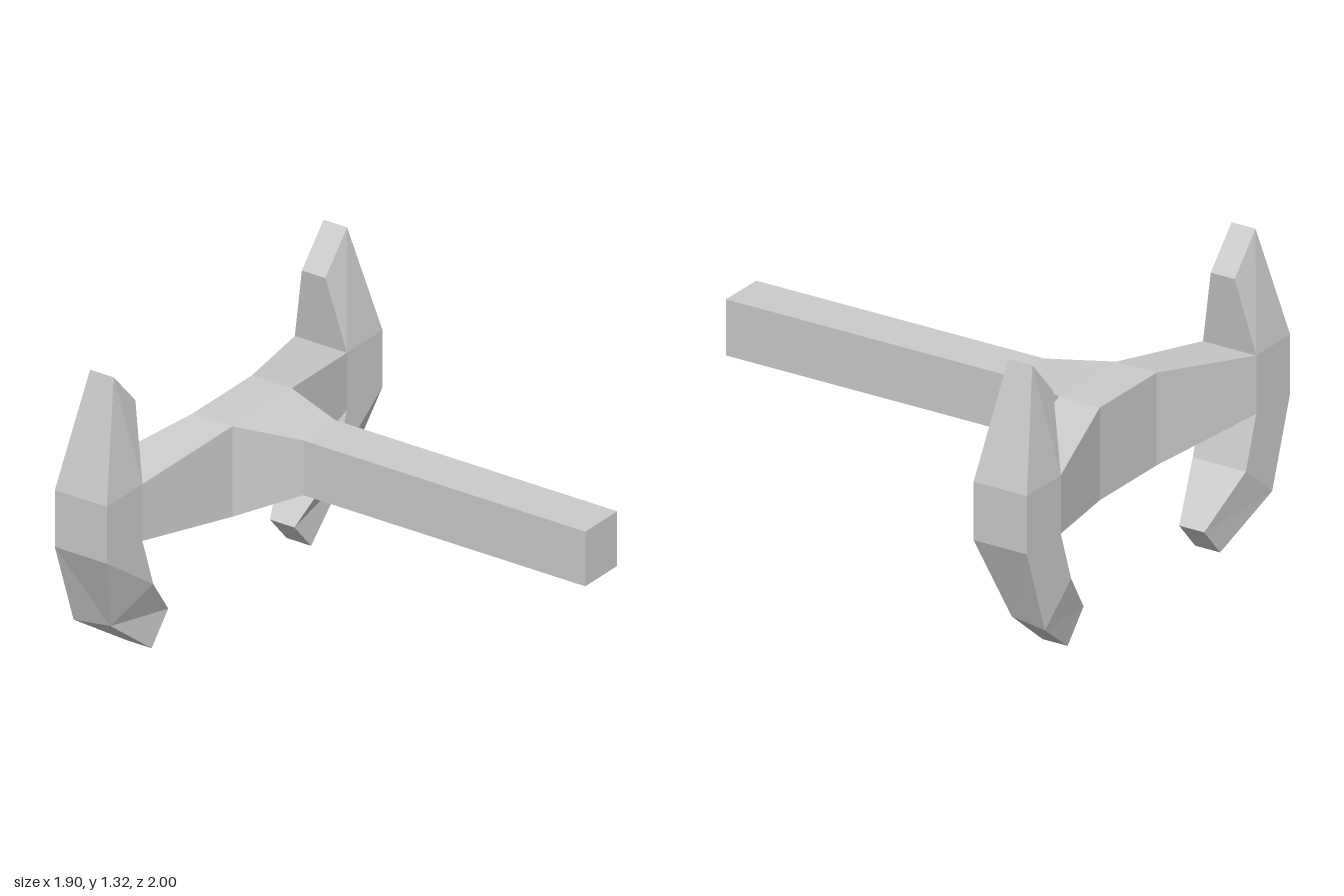
import * as THREE from 'three';

const material = new THREE.MeshStandardMaterial({ color: 0xcccccc, flatShading: true });

// Skins four-cornered cross-sections; corners run anticlockwise seen from the far end.
function loft(name, rings, { capStart = false, capEnd = false, mirror = false } = {}) {
  const positions = [];
  const tri = (...corners) => {
    if (mirror) corners.reverse();
    for (const [x, y, z] of corners) positions.push(mirror ? -x : x, y, z);
  };
  const quad = (a, b, c, d, swap) => {
    if (swap) { tri(a, b, d); tri(b, c, d); } else { tri(a, b, c); tri(a, c, d); }
  };
  for (let r = 0; r < rings.length - 1; r++) {
    const low = rings[r], high = rings[r + 1];
    for (let i = 0; i < 4; i++) {
      const j = (i + 1) % 4;
      quad(low[i], low[j], high[j], high[i], i >= 2);
    }
  }
  if (capStart) quad(...[...rings[0]].reverse());
  if (capEnd) quad(...rings[rings.length - 1]);

  const geometry = new THREE.BufferGeometry();
  geometry.setAttribute('position', new THREE.Float32BufferAttribute(positions, 3));
  geometry.computeVertexNormals();
  const mesh = new THREE.Mesh(geometry, material);
  mesh.name = name;
  return mesh;
}

// Rectangular section across z
const shaftRing = (z, w, y0, y1) => [[-w, y0, z], [w, y0, z], [w, y1, z], [-w, y1, z]];
// Rectangular section across x
const armRing = (x, y0, y1, front, back) =>
  [[x, y0, front], [x, y0, back], [x, y1, back], [x, y1, front]];
// Claw section from its inner and outer points
const clawRing = ([xi, yi], [xo, yo], front, back) =>
  [[xi, yi, front], [xo, yo, front], [xo, yo, back], [xi, yi, back]];

export function createModel() {
  const model = new THREE.Group();
  model.name = 'clawedFrame';

  // Long central beam flaring into the hub
  model.add(loft('shaft', [
    shaftRing(-0.66, 0.205, 0.49, 0.895),
    shaftRing(-0.38, 0.11, 0.63, 0.875),
    shaftRing(1, 0.11, 0.63, 0.875),
  ], { capEnd: true }));

  // Hub with swept-back tapering arms
  model.add(loft('crossArm', [
    armRing(-0.705, 0.565, 0.82, -0.745, -1),
    armRing(-0.205, 0.49, 0.895, -0.66, -0.855),
    armRing(0.205, 0.49, 0.895, -0.66, -0.855),
    armRing(0.705, 0.565, 0.82, -0.745, -1),
  ]));

  // Curved claws, listed from the lower tip to the upper tip
  const clawRings = [
    clawRing([0.435, 0.13], [0.55, 0], -0.81, -0.93),
    [[0.63, 0.34, -0.745], [0.805, 0.2, -0.83], [0.82, 0.185, -1], [0.63, 0.34, -1]],
    clawRing([0.705, 0.565], [0.95, 0.565], -0.745, -1),
    clawRing([0.705, 0.82], [0.95, 0.82], -0.745, -1),
    clawRing([0.655, 1.155], [0.805, 1.32], -0.815, -0.93),
  ];
  for (const mirror of [false, true]) {
    model.add(loft(mirror ? 'rightClaw' : 'leftClaw', clawRings,
      { capStart: true, capEnd: true, mirror }));
  }
  return model;
}
